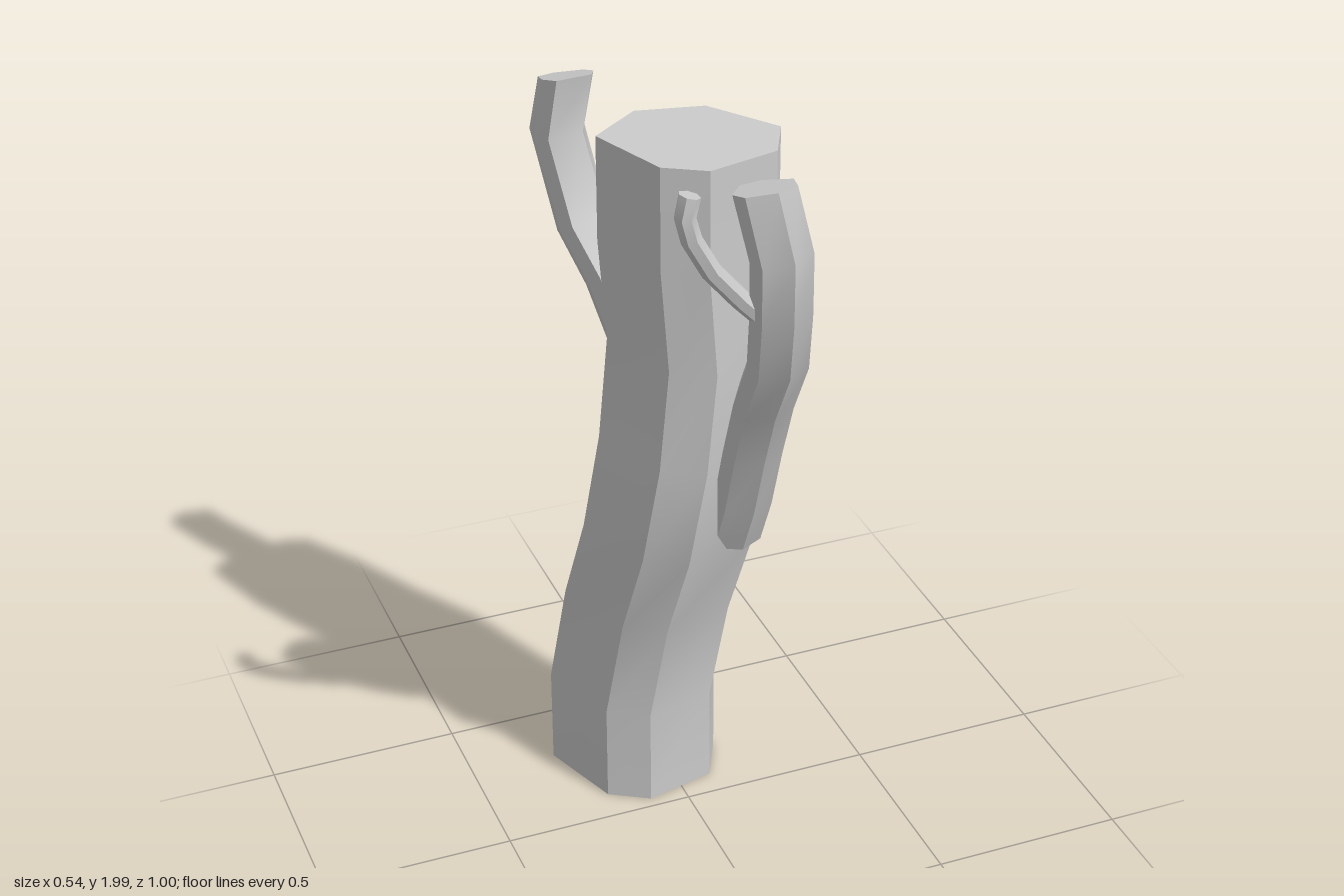
import * as THREE from 'three';
import { toCreasedNormals } from 'three/addons/utils/BufferGeometryUtils.js';

const UP = new THREE.Vector3(0, 1, 0);

// Sweeps a convex [x, z] outline along a path. Rings stay level, or tilt to follow the path.
function sweep(name, outline, path, { level = false, endNormal = null } = {}) {
  const pts = path.map(p => new THREE.Vector3(...p));
  const n = outline.length, last = pts.length - 1;
  const positions = [], index = [];

  pts.forEach((p, i) => {
    const back = pts[i].clone().sub(pts[Math.max(i - 1, 0)]).normalize();
    const ahead = pts[Math.min(i + 1, last)].clone().sub(p).normalize();
    let normal = level ? UP : back.add(ahead).normalize();
    if (i === last && endNormal) normal = new THREE.Vector3(...endNormal).normalize();
    const tilt = new THREE.Quaternion().setFromUnitVectors(UP, normal);
    for (const [x, z] of outline) {
      positions.push(...new THREE.Vector3(x, 0, z).applyQuaternion(tilt).add(p).toArray());
    }
  });

  // sides
  for (let i = 0; i < last; i++) {
    for (let j = 0; j < n; j++) {
      const a = i * n + j, b = i * n + (j + 1) % n;
      index.push(a, a + n, b, b, a + n, b + n);
    }
  }
  // end caps
  const top = last * n;
  for (let j = 1; j < n - 1; j++) {
    index.push(0, j, j + 1, top, top + j + 1, top + j);
  }

  const geometry = new THREE.BufferGeometry();
  geometry.setAttribute('position', new THREE.Float32BufferAttribute(positions, 3));
  geometry.setIndex(index);
  const mesh = new THREE.Mesh(
    toCreasedNormals(geometry, 0.5),
    new THREE.MeshStandardMaterial({ color: 0xcccccc })
  );
  mesh.name = name;
  return mesh;
}

export function createModel() {
  const group = new THREE.Group();
  group.name = 'deadTree';

  // Trunk: uneven seven-sided column that leans and then straightens
  const trunkOutline = [
    [-0.045, -0.24], [0.125, -0.205], [0.245, -0.03], [0.185, 0.09],
    [0, 0.135], [-0.1, 0.075], [-0.178, -0.14],
  ];
  group.add(sweep('trunk', trunkOutline, [
    [-0.095, 0, -0.165], [-0.095, 0.27, -0.165], [-0.06, 0.55, -0.13], [-0.04, 0.81, -0.03],
    [-0.005, 1.08, 0], [0.02, 1.35, 0], [0, 1.62, 0], [0, 1.89, 0],
  ], { level: true }));

  // Front branch: long limb curving forward and up
  const frontOutline = [
    [-0.03, -0.062], [0.025, -0.065], [0.082, -0.02], [0.065, 0.045],
    [0.01, 0.066], [-0.06, 0.045], [-0.072, 0],
  ];
  group.add(sweep('frontBranch', frontOutline, [
    [0.1, 0.84, 0.03], [0.1, 0.98, 0.095], [0.095, 1.16, 0.164], [0.085, 1.337, 0.249],
    [0.08, 1.49, 0.339], [0.06, 1.655, 0.397], [0.04, 1.82, 0.44], [0.003, 1.978, 0.428],
  ], { endNormal: [-0.05, 0.97, -0.22] }));

  // Twig: thin offshoot on the front branch
  const twigOutline = [];
  for (let i = 0; i < 7; i++) {
    const a = Math.PI + i * Math.PI * 2 / 7;
    twigOutline.push([0.025 * Math.cos(a), 0.028 * Math.sin(a)]);
  }
  group.add(sweep('twig', twigOutline, [
    [0.04, 1.62, 0.39], [-0.035, 1.7, 0.4], [-0.11, 1.79, 0.41],
    [-0.16, 1.88, 0.415], [-0.175, 1.935, 0.417], [-0.163, 1.985, 0.415],
  ]));

  // Back branch: shorter limb rising behind the trunk
  const backOutline = [
    [-0.06, -0.04], [-0.015, -0.057], [0.055, -0.037], [0.07, -0.005],
    [0.05, 0.04], [-0.045, 0.057], [-0.066, 0.01],
  ];
  group.add(sweep('backBranch', backOutline, [
    [-0.01, 1.14, -0.13], [-0.055, 1.29, -0.206], [-0.09, 1.443, -0.29],
    [-0.13, 1.554, -0.376], [-0.168, 1.78, -0.437], [-0.15, 1.928, -0.415],
  ], { endNormal: [0, 0.97, -0.24] }));

  return group;
}
